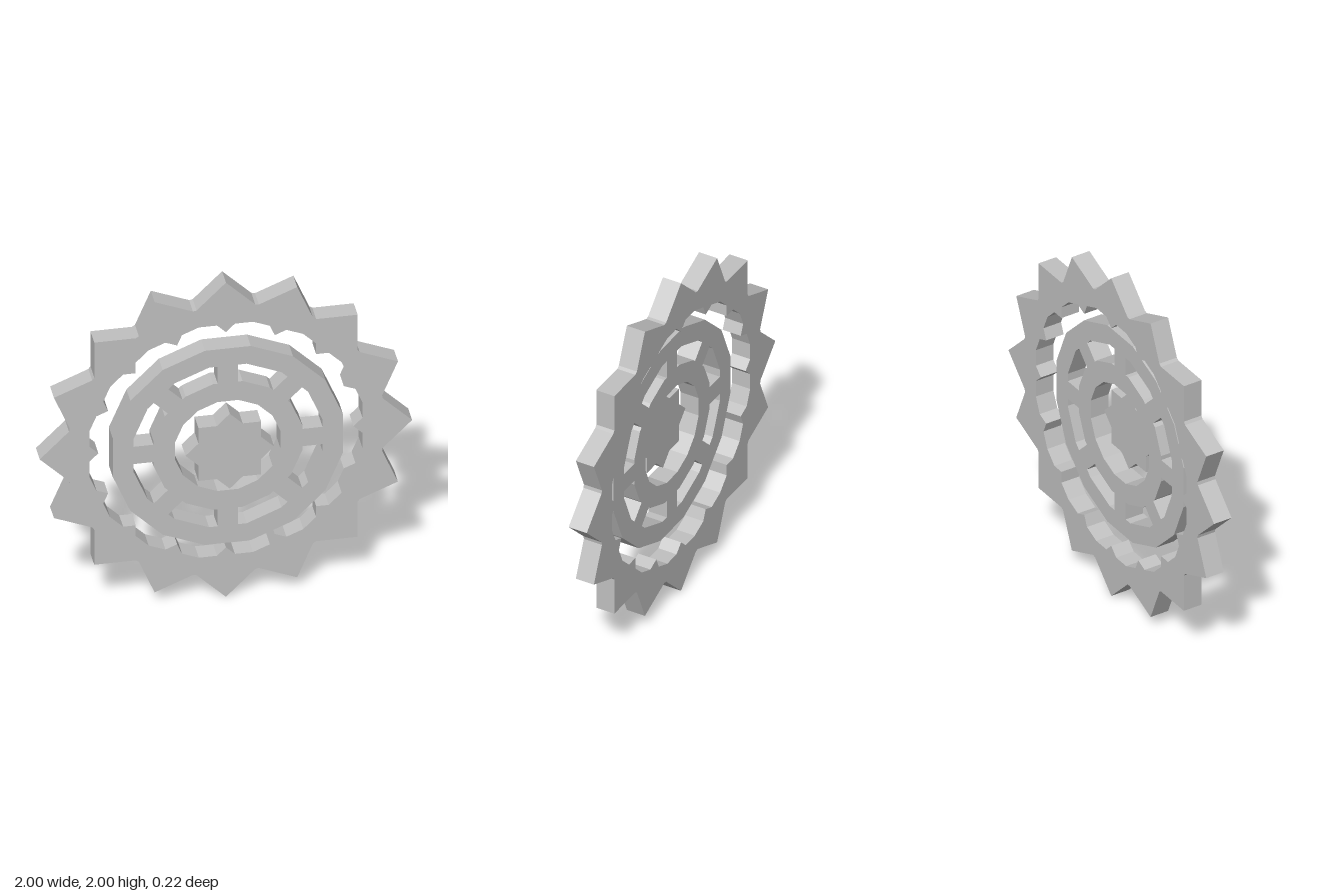
import * as THREE from 'three';

const DEPTH = 0.11;
const SIDES = 16;

// Point at a radius and an angle in degrees
function polar(radius, degrees) {
  const a = THREE.MathUtils.degToRad(degrees);
  return new THREE.Vector2(radius * Math.cos(a), radius * Math.sin(a));
}

// Sixteen-sided polygon with flats facing the axes, given its apothem
function polygon(apothem) {
  const radius = apothem / Math.cos(Math.PI / SIDES);
  return Array.from({ length: SIDES }, (_, k) => polar(radius, (k + 0.5) * 22.5));
}

export function createModel() {
  const group = new THREE.Group();
  const grey = new THREE.MeshStandardMaterial({ color: 0xc0c0c0 });
  grey.name = 'plain grey';

  function addPlate(name, outline, holes, backZ) {
    const shape = new THREE.Shape(outline);
    for (const hole of holes) shape.holes.push(new THREE.Path(hole));
    const geometry = new THREE.ExtrudeGeometry(shape, { depth: DEPTH, bevelEnabled: false });
    const mesh = new THREE.Mesh(geometry, grey);
    mesh.name = name;
    mesh.position.set(0, 1, backZ);
    group.add(mesh);
  }

  // Outer ring: square teeth whose inner corners poke into the opening
  const teeth = [], opening = [];
  const tip = 1, innerTip = 0.685, apothem = 0.733;
  const mid = (tip + innerTip) / 2, half = (tip - innerTip) / 2;
  for (let k = 0; k < SIDES; k++) {
    const angle = THREE.MathUtils.degToRad(k * 22.5);
    const at = (r, side) => new THREE.Vector2(r, side).rotateAround(new THREE.Vector2(), angle);
    teeth.push(at(mid, -half), at(tip, 0), at(mid, half));
    const notch = apothem - innerTip;
    opening.push(at(apothem, -notch), at(innerTip, 0), at(apothem, notch));
    opening.push(polar(apothem / Math.cos(Math.PI / SIDES), (k + 0.5) * 22.5));
  }
  addPlate('toothedRing', teeth, [opening], -DEPTH);

  // Spoked wheel: eight windows left between spokes of constant width
  const windows = [];
  const outer = 0.508, inner = 0.4, spokeHalf = 0.055;
  const secant = 1 / Math.cos(Math.PI / SIDES);
  for (let k = 0; k < 8; k++) {
    const start = THREE.MathUtils.degToRad(k * 45);
    const end = start + Math.PI / 4;
    const origin = new THREE.Vector2();
    const onSpoke = (r, side, a) => new THREE.Vector2(r, side).rotateAround(origin, a);
    windows.push([
      onSpoke(outer, spokeHalf, start),
      polar(outer * secant, k * 45 + 11.25),
      polar(outer * secant, k * 45 + 33.75),
      onSpoke(outer, -spokeHalf, end),
      onSpoke(inner, -spokeHalf, end),
      polar(inner * secant, k * 45 + 33.75),
      polar(inner * secant, k * 45 + 11.25),
      onSpoke(inner, spokeHalf, start),
    ]);
  }
  addPlate('spokedWheel', polygon(0.618), [polygon(0.283), ...windows], -DEPTH / 2);

  // Central eight-pointed star: two crossed squares
  const starTip = 0.238;
  const starValley = starTip * Math.SQRT1_2 / Math.cos(Math.PI / 8);
  const star = Array.from({ length: 16 }, (_, k) => polar(k % 2 ? starValley : starTip, k * 22.5));
  addPlate('centreStar', star, [], 0);

  return group;
}
